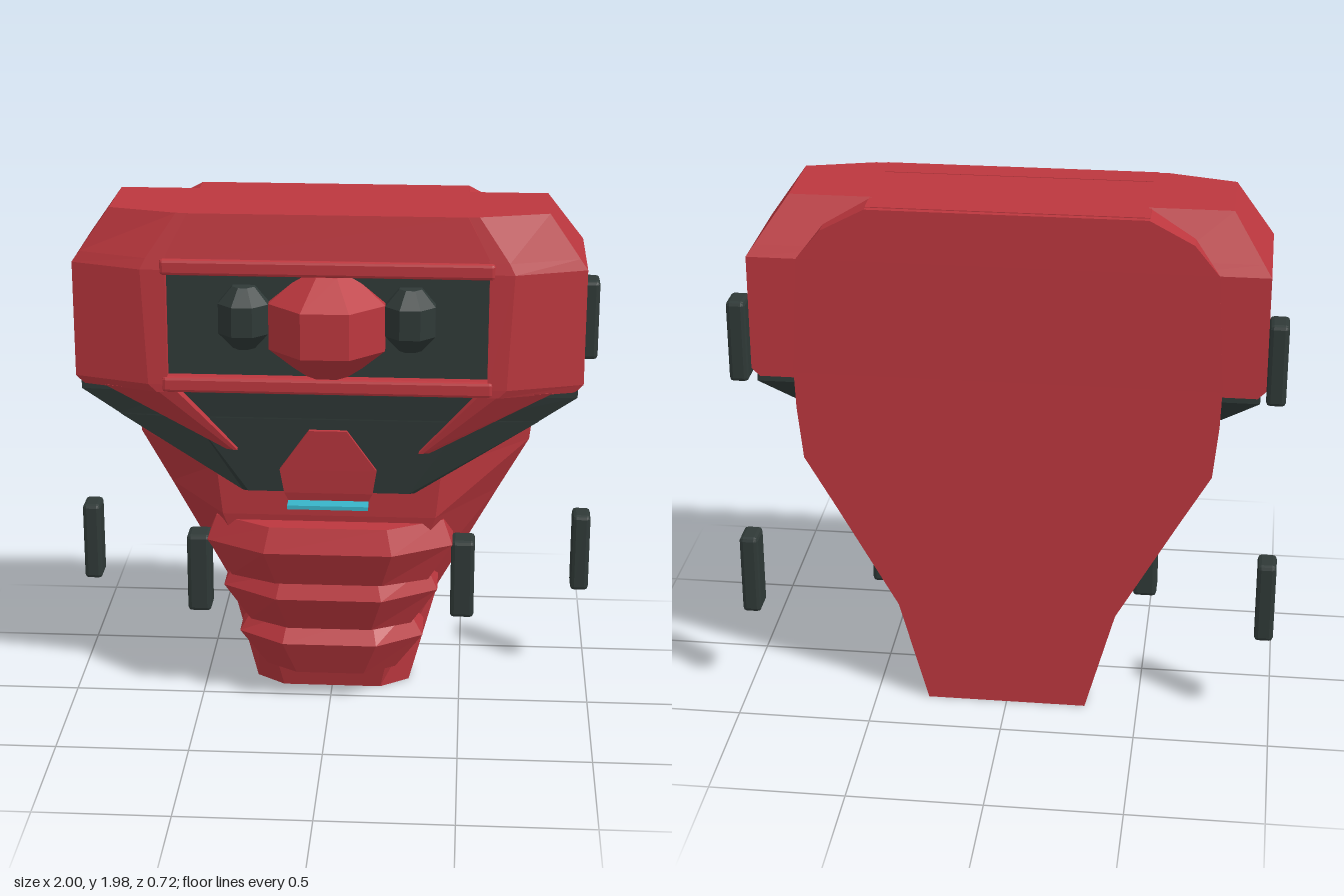
import * as THREE from 'three';
import { RoundedBoxGeometry } from 'three/addons/geometries/RoundedBoxGeometry.js';

const mat = (name, color) => {
  const m = new THREE.MeshStandardMaterial({ color, flatShading: true });
  m.name = name;
  return m;
};

// Solid skinned over convex rings of [x, z], stacked upward: levels = [[y, ring], ...]
function loft(levels) {
  const p = [];
  const tri = (...v) => v.forEach(q => p.push(...q));
  const rings = levels.map(([y, ring]) => ring.map(([x, z]) => [x, y, z]));
  const n = rings[0].length;
  for (let k = 0; k + 1 < rings.length; k++) {
    const lo = rings[k], hi = rings[k + 1];
    for (let i = 0; i < n; i++) {
      const j = (i + 1) % n;
      tri(lo[i], lo[j], hi[j]);
      tri(lo[i], hi[j], hi[i]);
    }
  }
  const bottom = rings[0], top = rings[rings.length - 1];
  for (let i = 1; i + 1 < n; i++) {
    tri(bottom[0], bottom[i + 1], bottom[i]);
    tri(top[0], top[i], top[i + 1]);
  }
  const g = new THREE.BufferGeometry();
  g.setAttribute('position', new THREE.Float32BufferAttribute(p, 3));
  g.computeVertexNormals();
  return g;
}

// Symmetric ring: flat front (half width f at z zf), side corner (w, zs), back at zb
const hull = (f, zf, w, zs, zb) => [[-f, zf], [f, zf], [w, zs], [w, zb], [-w, zb], [-w, zs]];
const slab = (w, zf, zb) => [[-w, zf], [w, zf], [w, zb], [-w, zb]];

// Eight-sided ring with a flat facing the front
const octagon = (x, z, apothem) => Array.from({ length: 8 }, (_, i) => {
  const a = -Math.PI / 8 + i * Math.PI / 4, r = apothem / Math.cos(Math.PI / 8);
  return [x + r * Math.sin(a), z + r * Math.cos(a)];
});
const flip = levels => levels.map(([y, ring]) => [y, ring.map(([x, z]) => [-x, z]).reverse()]);

export function createModel() {
  const root = new THREE.Group();
  root.name = 'armouredTorso';
  const red = mat('red armour', 0xbc373e);
  const dark = mat('dark metal', 0x2f3937);
  const cyan = mat('cyan light', 0x38b4c8);
  const add = (name, geometry, material) => {
    const m = new THREE.Mesh(geometry, material);
    m.name = name;
    root.add(m);
    return m;
  };
  const addPair = (name, levels, material) => {
    add('left' + name, loft(levels), material);
    add('right' + name, loft(flip(levels)), material);
  };

  // Tapered core with the flat back
  add('torsoCore', loft([
    [0, hull(0.19, -0.09, 0.30, -0.17, -0.30)],
    [0.4, hull(0.27, 0.03, 0.41, -0.21, -0.30)],
    [0.8, hull(0.40, 0.11, 0.635, -0.23, -0.30)],
    [1.0, hull(0.42, 0.125, 0.75, -0.24, -0.30)],
    [1.2, hull(0.45, 0.12, 0.77, -0.20, -0.30)],
    [1.34, hull(0.45, 0.12, 0.775, -0.18, -0.30)],
    [1.78, hull(0.45, 0.12, 0.75, -0.18, -0.302)],
    [1.89, hull(0.45, 0.12, 0.66, -0.18, -0.302)],
    [1.975, hull(0.40, 0.12, 0.50, -0.18, -0.302)],
  ]), red);

  // Chest: recessed centre, upper panel and shoulder blocks
  add('chestCentre', loft([
    [1.33, slab(0.59, 0.19, -0.28)],
    [1.80, slab(0.59, 0.19, -0.28)],
    [1.978, slab(0.50, 0.19, -0.28)],
  ]), red);
  add('upperChestPanel', loft([
    [1.80, slab(0.595, 0.235, 0.10)],
    [1.98, slab(0.50, 0.205, 0.10)],
  ]), red);
  const block = (inner, f, zf, w, zs, zb) => [[inner, zf], [f, zf], [w, zs], [w, zb], [inner, zb]];
  addPair('ShoulderBlock', [
    [1.32, block(0.58, 0.62, 0.238, 0.90, 0.15, -0.30)],
    [1.35, block(0.58, 0.65, 0.24, 0.93, 0.15, -0.30)],
    [1.78, block(0.58, 0.67, 0.24, 0.93, 0.15, -0.30)],
    [1.82, block(0.58, 0.65, 0.232, 0.902, 0.147, -0.276)],
    [1.98, block(0.49, 0.54, 0.20, 0.79, 0.13, -0.18)],
  ], red);

  // Window with its frame bars
  const windowPanel = add('chestWindow', new THREE.BoxGeometry(1.17, 0.40, 0.008), dark);
  windowPanel.position.set(0, 1.57, 0.198);
  for (const [name, y] of [['upperWindowBar', 1.79], ['lowerWindowBar', 1.35]]) {
    add(name, new RoundedBoxGeometry(1.2, 0.06, 0.07, 1, 0.012), red).position.set(0, y, 0.212);
  }

  // Faceted centre boss and two dark studs
  const knob = (x, z, a, tip, ys) => [
    [ys[0], octagon(x, z, tip)], [ys[1], octagon(x, z, a)],
    [ys[2], octagon(x, z, a)], [ys[3], octagon(x, z, tip)],
  ];
  add('centreBoss', loft(knob(0, 0.15, 0.21, 0.09, [1.38, 1.49, 1.66, 1.76])), red);
  addPair('ChestStud', knob(0.3, 0.21, 0.09, 0.04, [1.49, 1.55, 1.66, 1.72]), dark);

  // Dark V-shaped underchest, with red flaps and a central plate over it
  add('underchest', loft([
    [0.905, hull(0.30, 0.137, 0.32, 0.13, 0.04)],
    [1.2, hull(0.50, 0.167, 0.77, 0.14, -0.14)],
    [1.205, hull(0.50, 0.167, 0.775, 0.14, -0.24)],
    [1.3, hull(0.55, 0.18, 0.91, 0.15, -0.298)],
    [1.33, hull(0.55, 0.18, 0.91, 0.15, -0.298)],
  ]), dark);
  addPair('ChestFlap', [
    [1.08, [[0.335, 0.178], [0.35, 0.178], [0.375, 0.17], [0.375, 0.10], [0.335, 0.10]]],
    [1.325, [[0.55, 0.235], [0.62, 0.235], [0.82, 0.18], [0.82, 0.10], [0.55, 0.10]]],
  ], red);
  add('centrePlate', loft([
    [0.85, slab(0.14, 0.135, 0.03)],
    [0.905, slab(0.165, 0.15, 0.03)],
    [1.0, slab(0.18, 0.163, 0.03)],
    [1.16, slab(0.07, 0.18, 0.03)],
  ]), red);
  add('lightBar', new THREE.BoxGeometry(0.30, 0.015, 0.06), cyan).position.set(0, 0.865, 0.17);

  // Three wrapped abdominal bands
  const bands = [
    ['upperBand', [
      [0.53, hull(0.20, 0.14, 0.375, 0.06, -0.03)],
      [0.68, hull(0.24, 0.21, 0.465, 0.08, -0.07)],
      [0.775, hull(0.22, 0.18, 0.43, 0.06, -0.02)]]],
    ['middleBand', [
      [0.32, hull(0.16, 0.08, 0.31, 0, -0.09)],
      [0.47, hull(0.20, 0.155, 0.41, 0.02, -0.145)],
      [0.56, hull(0.18, 0.12, 0.37, 0.01, -0.09)]]],
    ['lowerBand', [
      [0.115, hull(0.13, 0.04, 0.25, -0.04, -0.15)],
      [0.26, hull(0.18, 0.10, 0.355, -0.02, -0.195)],
      [0.36, hull(0.16, 0.04, 0.30, -0.03, -0.12)]]],
  ];
  for (const [name, levels] of bands) add(name, loft(levels), red);

  // Upright dark connector pegs at the shoulders, hips and waist
  const pegs = [
    ['ShoulderPeg', 0.965, 1.472, -0.305, 0.07, 0.31],
    ['HipPeg', 0.965, 0.52, -0.305, 0.07, 0.315],
    ['WaistPeg', 0.505, 0.52, -0.013, 0.09, 0.315],
  ];
  for (const [name, x, y, z, w, h] of pegs) {
    for (const side of [1, -1]) {
      const g = new RoundedBoxGeometry(w, h, 0.11, 1, 0.015);
      add((side > 0 ? 'left' : 'right') + name, g, dark).position.set(side * x, y, z);
    }
  }
  return root;
}
